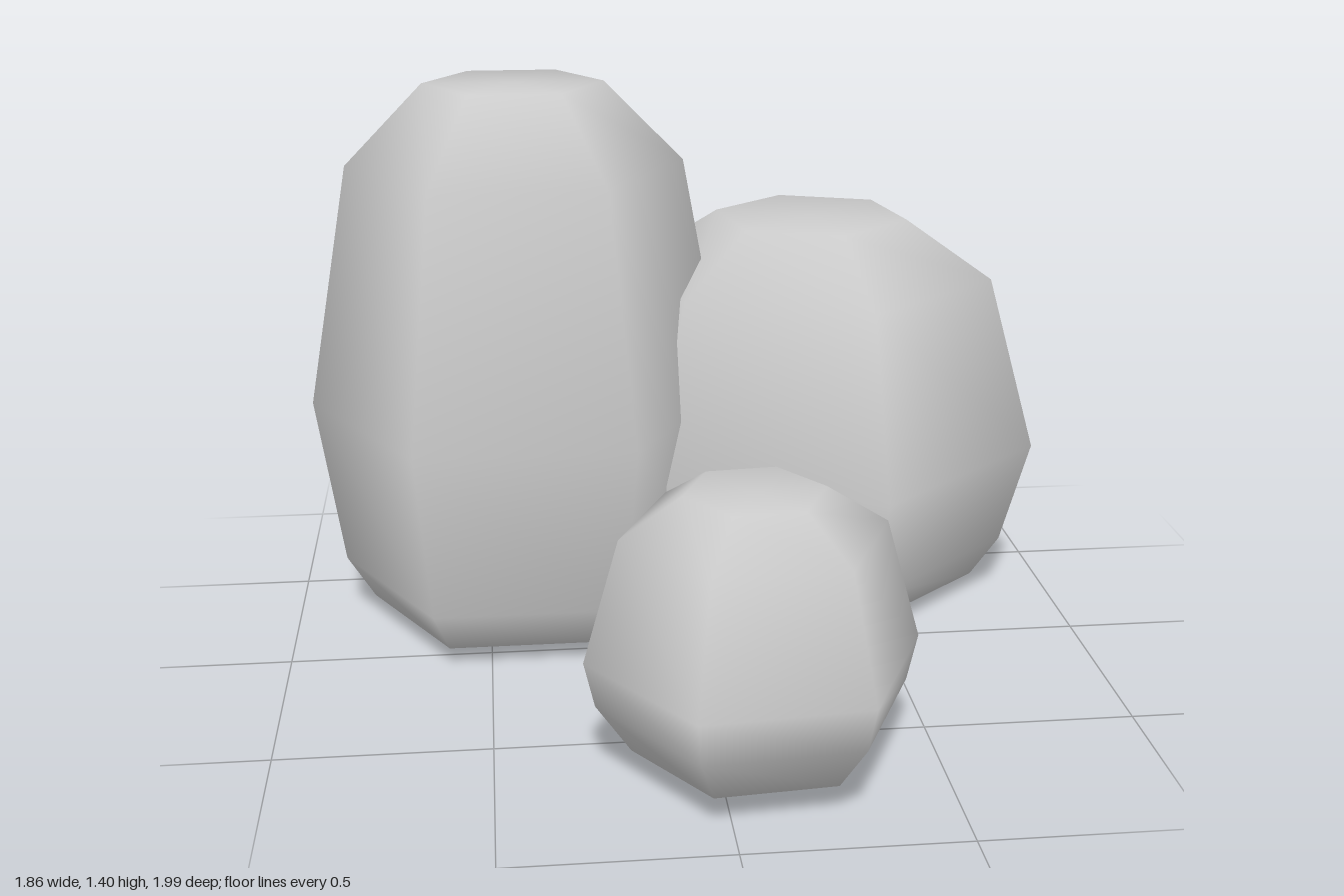
import * as THREE from 'three';

// Six-sided, smooth-shaded boulder: rows are [share of radius, height]
function boulder(name, x, z, radius, turn, rows) {
  const top = rows[rows.length - 1][1];
  const profile = [[0, rows[0][1]], ...rows, [0, top]]
    .map(([r, y]) => new THREE.Vector2(r * radius, y));
  const mesh = new THREE.Mesh(
    new THREE.LatheGeometry(profile, 6, turn, Math.PI * 2),
    new THREE.MeshStandardMaterial({ color: 0xcccccc })
  );
  mesh.name = name;
  mesh.position.set(x, 0, z);
  return mesh;
}

export function createModel() {
  const group = new THREE.Group();
  group.name = 'rockCluster';
  group.add(
    // tall upright rock
    boulder('tallRock', -0.405, -0.275, 0.53, Math.PI / 6, [
      [0.49, 0], [0.75, 0.05], [0.88, 0.16], [1, 0.59], [0.79, 1.2], [0.42, 1.4],
    ]),
    // wide rock leaning against it
    boulder('wideRock', 0.3625, -0.4075, 0.602, 0.18, [
      [0.53, 0.005], [0.76, 0.05], [0.88, 0.16], [1, 0.43], [0.79, 0.875], [0.42, 1.02],
    ]),
    // small rock in front
    boulder('smallRock', 0.0735, 0.6525, 0.376, 0.61, [
      [0.35, 0.03], [0.725, 0.075], [0.935, 0.19], [1, 0.295], [0.79, 0.575], [0.42, 0.665],
    ])
  );
  return group;
}
